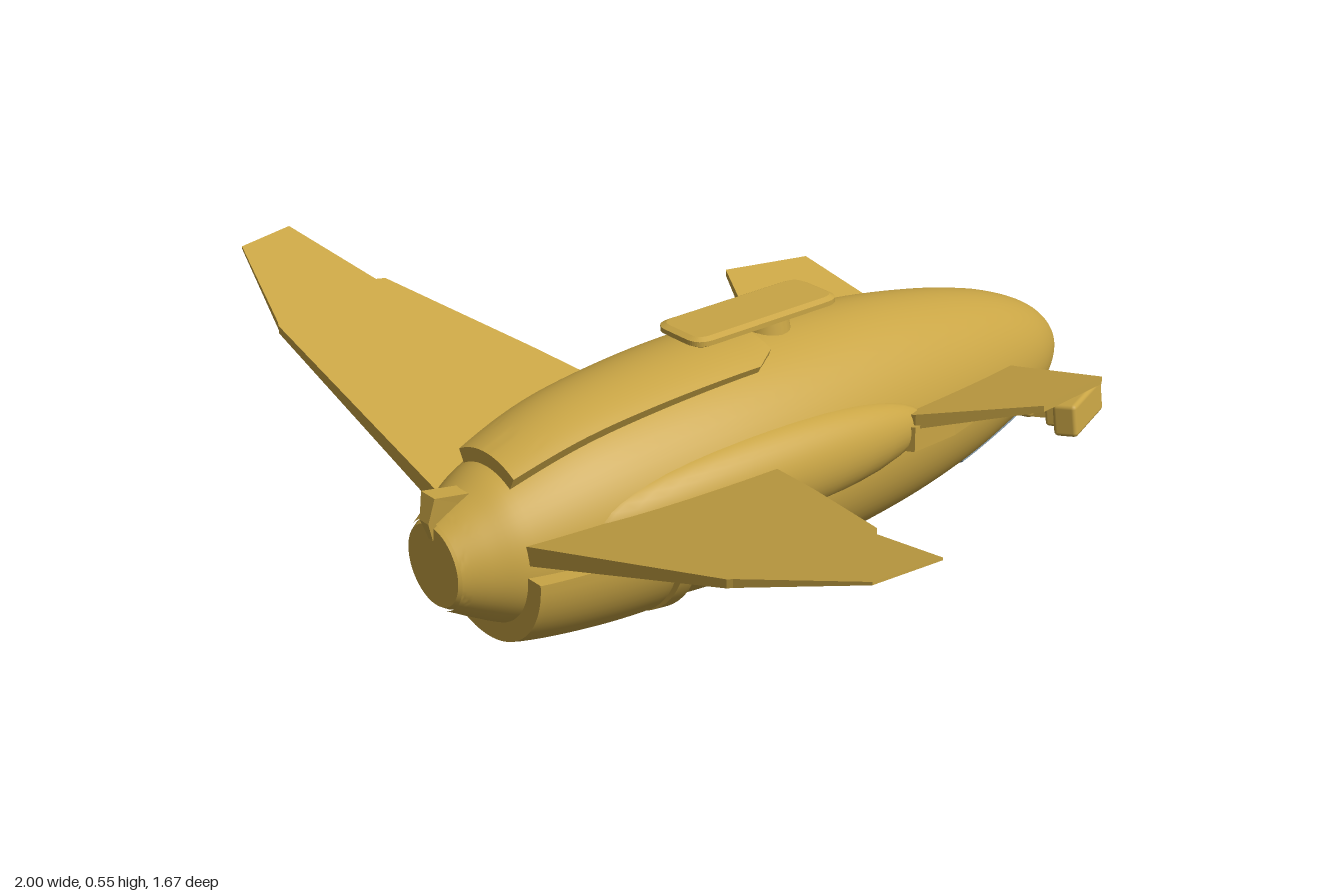
import * as THREE from 'three';
import { toCreasedNormals } from 'three/addons/utils/BufferGeometryUtils.js';
import { RoundedBoxGeometry } from 'three/addons/geometries/RoundedBoxGeometry.js';

const gold = new THREE.MeshStandardMaterial({ color: 0xc9a545 });
const glass = new THREE.MeshStandardMaterial({ color: 0x667c8c });

// Hull stations: z, half width, top, bottom, height of the widest line
const STATIONS = [
  [-0.83, 0.012, 0.262, 0.238, 0.25], [-0.815, 0.045, 0.295, 0.205, 0.25],
  [-0.77, 0.085, 0.34, 0.16, 0.25], [-0.7, 0.122, 0.38, 0.122, 0.25],
  [-0.6, 0.153, 0.418, 0.087, 0.25], [-0.45, 0.185, 0.455, 0.047, 0.25],
  [-0.25, 0.213, 0.487, 0.018, 0.245], [0, 0.236, 0.502, 0.007, 0.24],
  [0.2, 0.235, 0.502, 0.012, 0.24], [0.4, 0.216, 0.485, 0.03, 0.24],
  [0.55, 0.192, 0.458, 0.055, 0.24], [0.7, 0.152, 0.405, 0.093, 0.24],
  [0.76, 0.122, 0.37, 0.123, 0.243], [0.815, 0.09, 0.335, 0.155, 0.245],
];

function station(z) {
  let i = 0;
  while (i < STATIONS.length - 2 && z > STATIONS[i + 1][0]) i++;
  const p = STATIONS[Math.max(i - 1, 0)], a = STATIONS[i], b = STATIONS[i + 1];
  const n = STATIONS[Math.min(i + 2, STATIONS.length - 1)];
  const d = b[0] - a[0], t = (z - a[0]) / d;
  // cubic Hermite through the stations
  return a.map((v, k) => {
    const ma = (b[k] - p[k]) / (b[0] - p[0]) * d, mb = (n[k] - v) / (n[0] - a[0]) * d;
    const t2 = t * t, t3 = t2 * t;
    return (2 * t3 - 3 * t2 + 1) * v + (t3 - 2 * t2 + t) * ma + (3 * t2 - 2 * t3) * b[k] + (t3 - t2) * mb;
  });
}

// Point on the hull at angle a (0 = left side, PI/2 = top), moved out by off
function hullPoint(z, a, off = 0) {
  const [, w, top, bottom, mid] = station(z);
  const s = Math.sin(a), h = s > 0 ? top - mid : mid - bottom;
  return [(w + off) * Math.cos(a), mid + (h + off) * s, z];
}

function gridGeometry(rows, crease = 0.5) {
  const n = rows[0].length, index = [];
  for (let i = 0; i < rows.length - 1; i++) {
    for (let j = 0; j < n - 1; j++) {
      const a = i * n + j, c = a + n;
      index.push(a, a + 1, c, a + 1, c + 1, c);
    }
  }
  const g = new THREE.BufferGeometry();
  g.setAttribute('position', new THREE.Float32BufferAttribute(rows.flat(2), 3));
  g.setIndex(index);
  return toCreasedNormals(g, crease);
}

// Raised panel following the hull, its rim sinking into the surface
function panel(z0, z1, centre, halfAngle, off, nz = 20, na = 32) {
  const rows = [];
  for (let i = -1; i <= nz + 1; i++) {
    const t = Math.min(Math.max(i / nz, 0), 1), z = z0 + (z1 - z0) * t;
    const row = [];
    for (let j = -1; j <= na + 1; j++) {
      const u = Math.min(Math.max(j / na, 0), 1) * 2 - 1;
      const rim = i < 0 || i > nz || j < 0 || j > na;
      row.push(hullPoint(z, centre + u * halfAngle(t), rim ? -0.015 : off(t)));
    }
    rows.push(row);
  }
  return gridGeometry(rows);
}

// Flat plate from [x, z] corners, with height and thickness given along x
function wingGeometry(corners, height, thickness) {
  const shape = new THREE.Shape(corners.map(([x, z]) => new THREE.Vector2(x, -z)));
  const g = new THREE.ExtrudeGeometry(shape, { depth: 1, bevelEnabled: false });
  const p = g.attributes.position;
  for (let i = 0; i < p.count; i++) {
    const x = p.getX(i);
    p.setXYZ(i, x, height(x) + (p.getZ(i) - 0.5) * thickness(x), -p.getY(i));
  }
  g.computeVertexNormals();
  return g;
}

export function createModel() {
  const model = new THREE.Group();
  const add = (name, geometry, parent = model, material = gold) => {
    const m = new THREE.Mesh(geometry, material);
    m.name = name;
    parent.add(m);
    return m;
  };

  // Hull
  const rows = [];
  for (let i = 0; i <= 90; i++) {
    const z = -0.83 + 1.645 * (0.5 - 0.5 * Math.cos(Math.PI * i / 90));
    const row = [];
    for (let j = 0; j <= 64; j++) row.push(hullPoint(z, j / 64 * Math.PI * 2));
    rows.push(row);
  }
  add('hull', gridGeometry(rows, 0.8));
  const nose = add('noseCap', new THREE.SphereGeometry(0.0125, 16, 10));
  nose.position.set(0, 0.25, -0.826);

  // Engine disc closing the tail
  const disc = add('engineDisc', new THREE.CylinderGeometry(0.082, 0.09, 0.012, 40));
  disc.rotation.x = Math.PI / 2;
  disc.position.set(0, 0.245, 0.813);

  // Lower rear skirt and the narrow band ahead of it
  const down = -Math.PI / 2;
  add('rearSkirt', panel(0.415, 0.71, down, () => Math.PI / 2, t => 0.014 + 0.025 * t));
  add('skirtBand', panel(0.37, 0.402, down, () => Math.PI / 2, () => 0.016, 3));

  // Window under the nose
  add('window', panel(-0.76, -0.48, down, t => 0.72 - 0.16 * t, () => 0.006), model, glass);

  // Spine cover on the back
  add('spineCover', panel(0.07, 0.69, Math.PI / 2,
    t => 0.5 * Math.min(1, 0.75 + t * 3), t => 0.016 + 0.012 * t, 24, 20));

  // Roof plate on its pedestal
  const outline = new THREE.Shape();
  const hw = 0.07, r = 0.04;
  outline.moveTo(-hw + r, -0.235).lineTo(hw - r, -0.235).quadraticCurveTo(hw, -0.235, hw, -0.195)
    .lineTo(hw, 0.1).quadraticCurveTo(hw, 0.14, hw - r, 0.14)
    .lineTo(-hw + r, 0.14).quadraticCurveTo(-hw, 0.14, -hw, 0.1)
    .lineTo(-hw, -0.195).quadraticCurveTo(-hw, -0.235, -hw + r, -0.235);
  const plate = add('roofPlate', new THREE.ExtrudeGeometry(outline, {
    depth: 0.01, bevelThickness: 0.006, bevelSize: 0.012, bevelOffset: -0.012, bevelSegments: 1,
  }));
  plate.rotation.x = -Math.PI / 2;
  plate.position.y = 0.537;
  const post = add('platePedestal', new THREE.CylinderGeometry(0.04, 0.05, 0.06, 20));
  post.position.set(0, 0.515, 0);

  // Small tail fin over the engine
  const finShape = new THREE.Shape([[-0.72, 0.34], [-0.725, 0.375], [-0.82, 0.392], [-0.832, 0.34],
    [-0.82, 0.3], [-0.75, 0.3]].reverse().map(p => new THREE.Vector2(...p)));
  const finGeometry = new THREE.ExtrudeGeometry(finShape, { depth: 0.044, bevelEnabled: false });
  const fp = finGeometry.attributes.position;
  for (let i = 0; i < fp.count; i++) { // narrower towards the bottom
    fp.setZ(i, (fp.getZ(i) - 0.022) * (0.3 + 0.7 * Math.min(1, (fp.getY(i) - 0.3) / 0.08)));
  }
  finGeometry.computeVertexNormals();
  add('tailFin', finGeometry).rotation.y = Math.PI / 2;

  // Parts in pairs
  for (const side of [1, -1]) {
    const half = new THREE.Group();
    half.name = side > 0 ? 'leftSide' : 'rightSide';
    half.scale.x = side;
    model.add(half);

    add('mainWing', wingGeometry(
      [[0.12, 0.15], [0.25, 0.19], [0.44, 0.27], [0.76, 0.415], [0.765, 0.435], [1, 0.5],
        [0.975, 0.63], [0.72, 0.7], [0.71, 0.705], [0.12, 0.705]],
      x => 0.3 + 0.317 * (x - 0.2), x => 0.046 - 0.041 * x), half);

    add('foreWing', wingGeometry(
      [[0.1, -0.57], [0.18, -0.552], [0.45, -0.51], [0.485, -0.3], [0.24, -0.19], [0.1, -0.17]],
      x => 0.3 + 0.33 * (x - 0.2), x => 0.05 - 0.075 * x), half);

    // Fairing below the fore wing root
    add('foreWingFairing', wingGeometry(
      [[0.1, -0.46], [0.205, -0.43], [0.245, -0.3], [0.25, -0.18], [0.1, -0.14]],
      x => 0.272 + 0.15 * (x - 0.2), () => 0.055), half);

    // Swollen shoulder that carries the main wing
    const shoulder = add('wingShoulder', new THREE.SphereGeometry(1, 32, 24), half);
    shoulder.scale.set(0.078, 0.1, 0.42);
    shoulder.position.set(0.178, 0.29, 0.17);
    shoulder.rotation.y = -0.06;

    // Nose pod: strut, mount and outer block
    const pod = new THREE.Group();
    pod.name = 'nosePod';
    pod.position.set(0.218, 0.182, -0.71);
    pod.rotation.set(0, 0.39, 0.12);
    half.add(pod);
    add('podBlock', new RoundedBoxGeometry(0.055, 0.075, 0.17, 2, 0.01), pod);
    add('podMount', new RoundedBoxGeometry(0.03, 0.06, 0.11, 2, 0.008), pod).position.set(-0.038, 0.006, 0.01);
    add('podStrut', new THREE.BoxGeometry(0.1, 0.04, 0.06), pod).position.set(-0.085, 0.01, 0.02);
    const root = add('podRoot', new RoundedBoxGeometry(0.06, 0.06, 0.13, 2, 0.012), half);
    root.position.set(0.13, 0.2, -0.655);
    root.rotation.y = 0.35;
  }
  return model;
}
